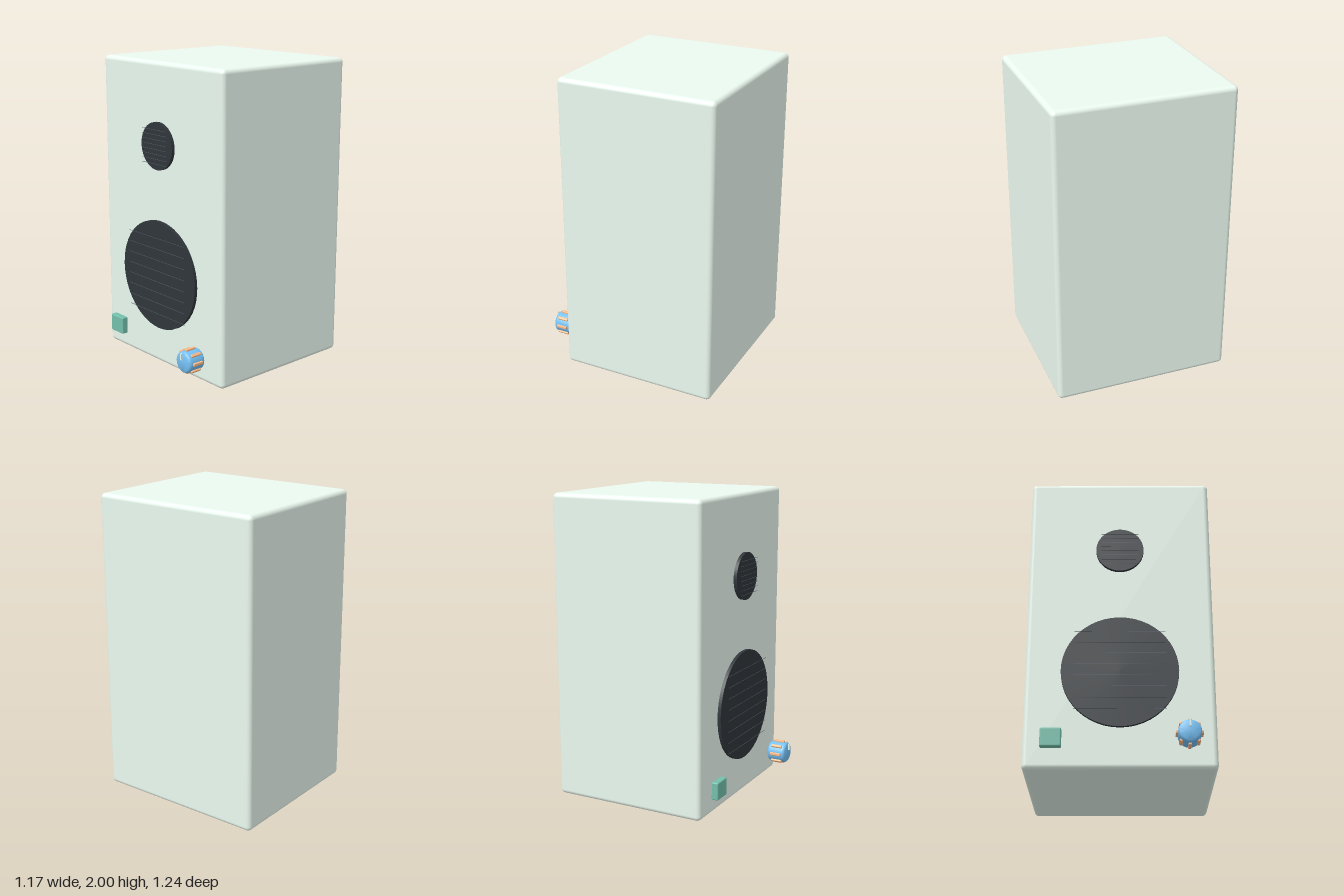
import * as THREE from 'three';
import { RoundedBoxGeometry } from 'three/addons/geometries/RoundedBoxGeometry.js';
import { toCreasedNormals } from 'three/addons/utils/BufferGeometryUtils.js';

const paint = (color) => new THREE.MeshStandardMaterial({ color });
const paleGreen = paint(0xebfaf0);
const dark = paint(0x30363b);
const slatPaint = paint(0x505a66);
const green = paint(0x74bfab);
const blue = paint(0x76c2f7);
const orange = paint(0xfabb8a);

function add(parent, name, geometry, material, x = 0, y = 0, z = 0) {
  const mesh = new THREE.Mesh(geometry, material);
  mesh.name = name;
  mesh.position.set(x, y, z);
  parent.add(mesh);
  return mesh;
}

// Round driver disc with a row of thin grille slats floating in front
function createDriver(name, y, radius, slatWidth, slatCount, slatLow, slatHigh) {
  const driver = new THREE.Group();
  driver.name = name;
  const disc = new THREE.CylinderGeometry(radius, radius, 0.022, 48).rotateX(Math.PI / 2);
  add(driver, 'driverDisc', disc, dark, 0, y, 0.452);
  const slat = new THREE.CylinderGeometry(0.0014, 0.0014, slatWidth, 8).rotateZ(Math.PI / 2);
  for (let i = 0; i < slatCount; i++) {
    const slatY = THREE.MathUtils.lerp(slatLow, slatHigh, i / (slatCount - 1));
    add(driver, 'grilleSlat', slat, slatPaint, 0, slatY, 0.481);
  }
  return driver;
}

// Volume knob with rounded rims, eight grip ridges and a pointer
function createKnob() {
  const knob = new THREE.Group();
  knob.name = 'volumeKnob';
  knob.position.set(0.41, 0.181, 0.54);
  const rim = [[0.054, 0.064], [0.06, 0.062], [0.066, 0.057], [0.069, 0.052], [0.07, 0.046]];
  const profile = [
    [0, -0.064], ...rim.map(([r, h]) => [r, -h]), ...rim.reverse(), [0, 0.064],
  ].map(([r, h]) => new THREE.Vector2(r, h));
  const body = new THREE.LatheGeometry(profile, 40).rotateX(Math.PI / 2);
  add(knob, 'knobBody', toCreasedNormals(body, 0.9), blue);
  const ridge = new RoundedBoxGeometry(0.018, 0.02, 0.076, 3, 0.005);
  for (let i = 0; i < 8; i++) {
    const a = (i / 8) * Math.PI * 2;
    const mesh = add(knob, 'gripRidge', ridge, orange, Math.cos(a) * 0.073, Math.sin(a) * 0.073, 0.001);
    mesh.rotation.z = a;
  }
  add(knob, 'knobPointer', new THREE.BoxGeometry(0.01, 0.045, 0.01), paleGreen, 0, 0.043, 0.074);
  return knob;
}

export function createModel() {
  const speaker = new THREE.Group();
  speaker.name = 'bookshelfSpeaker';

  // Cabinet with softly rounded edges
  add(speaker, 'cabinet', new RoundedBoxGeometry(1.172, 2, 1.054, 5, 0.03), paleGreen, 0, 1, -0.095);

  // Tweeter above, woofer below
  speaker.add(createDriver('tweeter', 1.472, 0.153, 0.24, 8, 1.362, 1.58));
  speaker.add(createDriver('woofer', 0.62, 0.363, 0.565, 8, 0.363, 0.876));

  // Controls
  add(speaker, 'powerButton', new RoundedBoxGeometry(0.128, 0.116, 0.046, 3, 0.008), green, -0.412, 0.178, 0.481);
  speaker.add(createKnob());
  return speaker;
}
